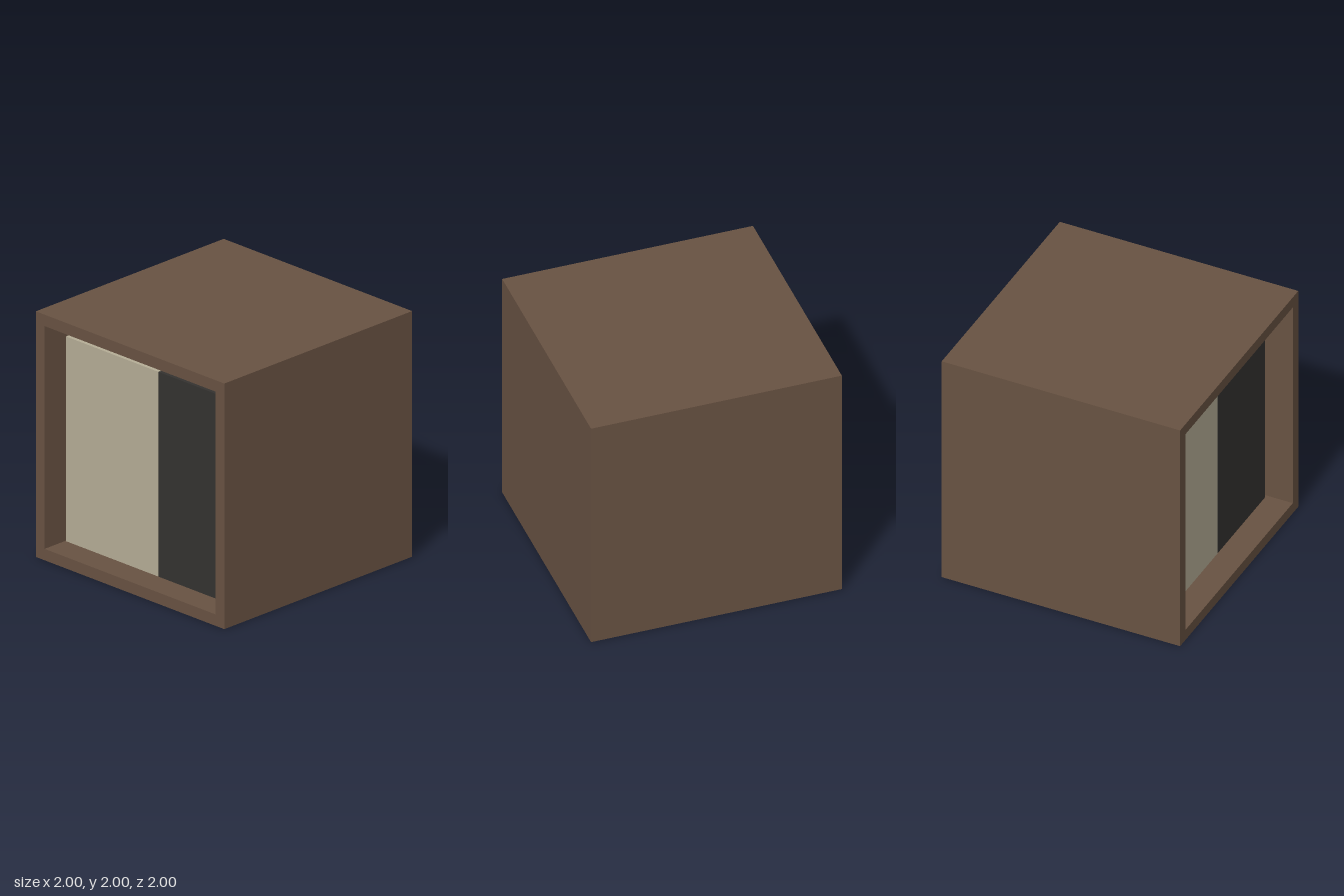
import * as THREE from 'three';

const WALL = 0.093;

// Hollow square case, open at the front: a four-sided lathe turned towards +z.
function makeCase() {
  const inner = 1 - WALL;
  const profile = [[0, -1], [1, -1], [1, 1], [inner, 1], [inner, -inner], [0, -inner]]
    .map(([r, y]) => new THREE.Vector2(r * Math.SQRT2, y));
  const geometry = new THREE.LatheGeometry(profile, 4, Math.PI / 4).toNonIndexed();
  geometry.rotateX(Math.PI / 2);
  geometry.translate(0, 1, 0);
  geometry.computeVertexNormals();
  const mesh = new THREE.Mesh(geometry, new THREE.MeshStandardMaterial({ color: 0x685242, flatShading: true }));
  mesh.name = 'cubbyCase';
  return mesh;
}

// Upright block standing on the floor of the case, from the back wall to z = 0.78.
function makeBlock(name, x0, x1, color) {
  const y0 = WALL, y1 = 1.76, z0 = -1 + WALL, z1 = 0.78;
  const mesh = new THREE.Mesh(
    new THREE.BoxGeometry(x1 - x0, y1 - y0, z1 - z0),
    new THREE.MeshStandardMaterial({ color })
  );
  mesh.position.set((x0 + x1) / 2, (y0 + y1) / 2, (z0 + z1) / 2);
  mesh.name = name;
  return mesh;
}

export function createModel() {
  const group = new THREE.Group();
  group.name = 'storageCube';
  group.add(
    makeCase(),
    makeBlock('lightBox', -0.9, 0.075, 0xb5ad96),
    makeBlock('darkBox', 0.083, 0.88, 0x343230)
  );
  return group;
}
